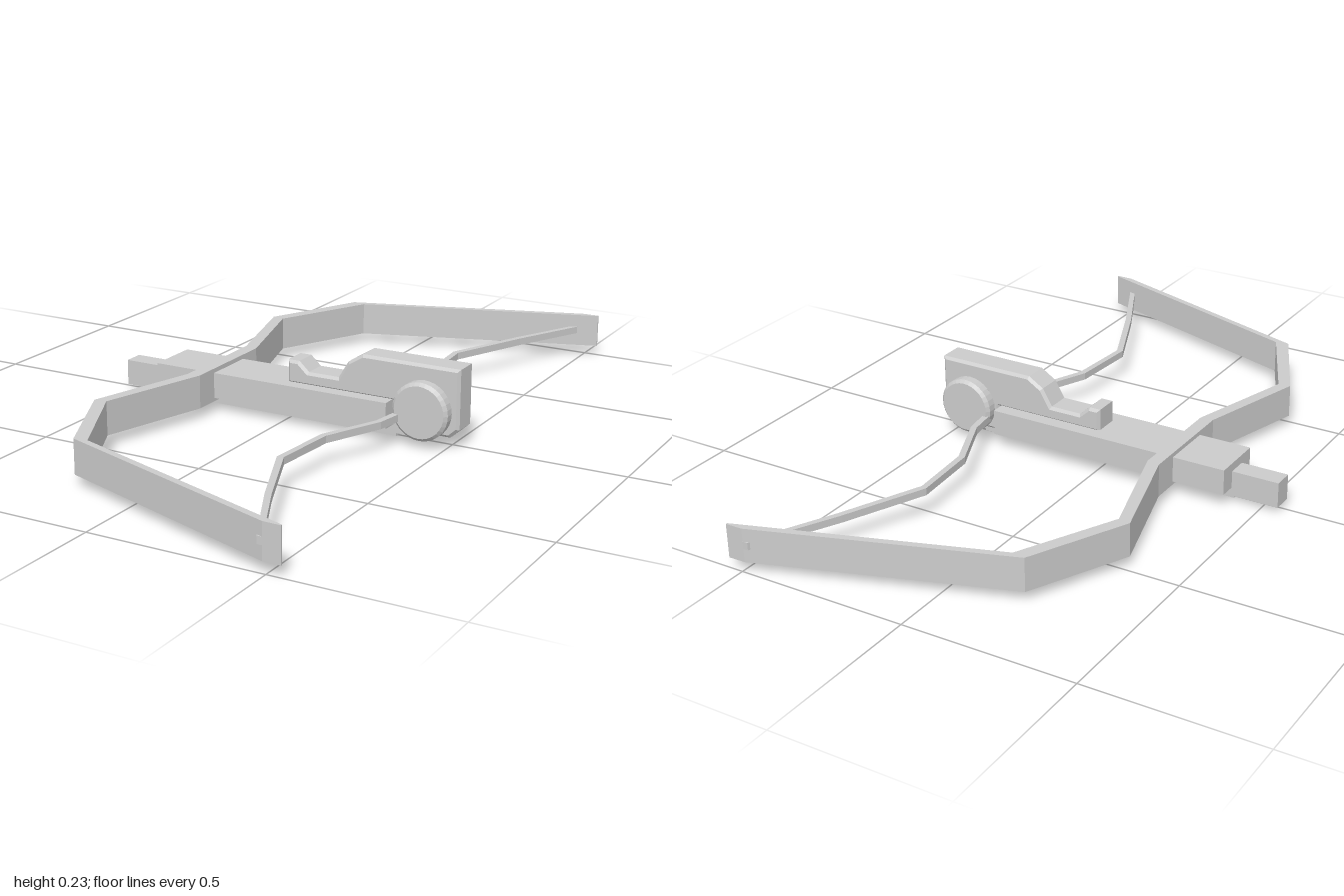
import * as THREE from 'three';

const material = new THREE.MeshStandardMaterial({ color: 0xcccccc, flatShading: true });

function add(group, name, geometry, x = 0, y = 0, z = 0) {
  const mesh = new THREE.Mesh(geometry, material);
  mesh.name = name;
  mesh.position.set(x, y, z);
  group.add(mesh);
  return mesh;
}

// Box given by its extents, centred on z = 0
function addBox(group, name, x0, x1, y0, y1, width) {
  return add(group, name, new THREE.BoxGeometry(x1 - x0, y1 - y0, width), (x0 + x1) / 2, (y0 + y1) / 2);
}

// Extrude a plan outline of [x, z] points upwards from y0 to y1
function plate(points, y0, y1) {
  const shape = new THREE.Shape(points.map(([x, z]) => new THREE.Vector2(x, -z)));
  const geometry = new THREE.ExtrudeGeometry(shape, { depth: y1 - y0, bevelEnabled: false });
  return geometry.rotateX(-Math.PI / 2).translate(0, y0, 0);
}

// Mirror half a plan edge (listed from the centre outwards) to a full edge
const mirrorEdge = (half) => [...half.map(([x, z]) => [x, -z]).reverse(), ...half];

// Closed band between an outer and an inner half edge
const band = (outer, inner) => [...mirrorEdge(outer), ...mirrorEdge(inner).reverse()];

export function createModel() {
  const group = new THREE.Group();

  // Stock with the rail running through it and the runner below
  addBox(group, 'stock', -0.41, 0.335, 0.04, 0.115, 0.16);
  addBox(group, 'rail', -0.55, 0.4, 0.015, 0.09, 0.06);
  addBox(group, 'runner', -0.41, 0.335, 0, 0.016, 0.026);

  // Recurved bow limbs, one flat band tapering towards the tips
  const limbOuter = [[-0.253, 0.16], [-0.345, 0.48], [-0.207, 0.762], [0.49, 0.999], [0.54, 1]];
  const limbInner = [[-0.215, 0.155], [-0.309, 0.475], [-0.168, 0.755], [0.54, 0.995]];
  add(group, 'bowLimbs', plate(band(limbOuter, limbInner), 0.03, 0.128));

  // Kinked string from each limb tip to the drum
  const stringOuter = [[0.358, 0.06], [0.345, 0.155], [0.27, 0.325], [0.255, 0.53], [0.358, 0.765], [0.475, 0.999]];
  const stringInner = [[0.378, 0.06], [0.362, 0.16], [0.288, 0.33], [0.273, 0.525], [0.375, 0.76], [0.492, 0.999]];
  for (const side of [-1, 1]) {
    const outline = [...stringOuter, ...stringInner.slice().reverse()].map(([x, z]) => [x, z * side]);
    add(group, side > 0 ? 'leftString' : 'rightString', plate(outline, 0.069, 0.09));
  }

  // Bevelled housing on top: low nose, dip, then the tall rear block
  const bevel = 0.008;
  const profile = [
    [0.013, 0.118], [0.013, 0.17], [0.037, 0.17], [0.068, 0.142], [0.17, 0.142], [0.201, 0.194],
    [0.243, 0.22], [0.527, 0.22], [0.527, 0.06], [0.505, 0.04], [0.36, 0.04], [0.35, 0.118],
  ];
  const housing = new THREE.ExtrudeGeometry(
    new THREE.Shape(profile.map(([x, y]) => new THREE.Vector2(x, y))),
    { depth: 0.068, bevelThickness: bevel, bevelSize: bevel, bevelSegments: 1 },
  );
  add(group, 'housing', housing, 0, 0, -0.034);

  // Winding drum across the rear, with chamfered rims
  const drumProfile = [
    [0, -0.084], [0.074, -0.084], [0.083, -0.075], [0.083, -0.05], [0.076, -0.042],
    [0.076, 0.042], [0.083, 0.05], [0.083, 0.075], [0.074, 0.084], [0, 0.084],
  ].map(([r, y]) => new THREE.Vector2(r, y));
  add(group, 'drum', new THREE.LatheGeometry(drumProfile, 32).rotateX(Math.PI / 2), 0.435, 0.105, 0);

  return group;
}
